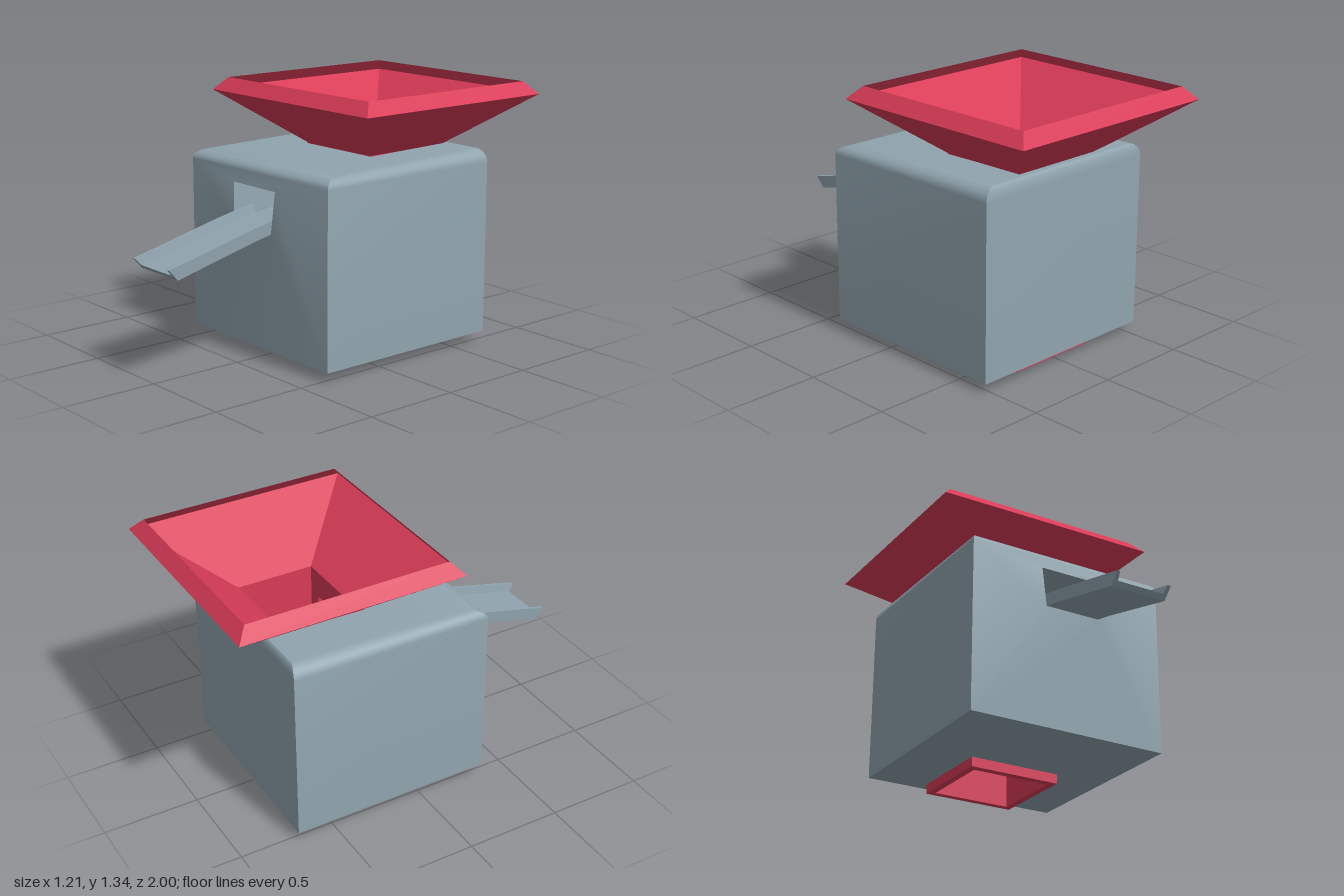
import * as THREE from 'three';
import { toCreasedNormals } from 'three/addons/utils/BufferGeometryUtils.js';

const grey = new THREE.MeshStandardMaterial({ color: 0x90a4ae, side: THREE.DoubleSide });
const red = new THREE.MeshStandardMaterial({ color: 0xd83b57, side: THREE.DoubleSide });

// Four corners of a horizontal rectangle, front edge first; lift raises the back edge
const rect = (x0, x1, z0, z1, y, lift = 0) =>
  [[x0, y, z1], [x1, y, z1], [x1, y + lift, z0], [x0, y + lift, z0]];

// Joins successive rings of points with quads; skip(i, j) leaves a quad out
function loft(rings, skip = () => false, caps = []) {
  const pos = [];
  const quad = (a, b, c, d) => pos.push(...a, ...b, ...c, ...a, ...c, ...d);
  for (let i = 0; i < rings.length - 1; i++) {
    const r = rings[i], s = rings[i + 1], n = r.length;
    for (let j = 0; j < n; j++) {
      if (!skip(i, j)) quad(r[j], r[(j + 1) % n], s[(j + 1) % n], s[j]);
    }
  }
  for (const cap of caps) quad(...cap);
  const g = new THREE.BufferGeometry();
  g.setAttribute('position', new THREE.Float32BufferAttribute(pos, 3));
  return toCreasedNormals(g, 0.45);
}

function add(parent, name, geometry, material) {
  const mesh = new THREE.Mesh(geometry, material);
  mesh.name = name;
  parent.add(mesh);
  return mesh;
}

function box(parent, name, x0, x1, y0, y1, z0, z1, material) {
  const mesh = add(parent, name, new THREE.BoxGeometry(x1 - x0, y1 - y0, z1 - z0), material);
  mesh.position.set((x0 + x1) / 2, (y0 + y1) / 2, (z0 + z1) / 2);
}

export function createModel() {
  const model = new THREE.Group();

  // Housing: open around the shaft, with rounded upper edges
  const shaft = [-0.24, 0.255, -0.64, -0.16];
  const rings = [rect(...shaft, 0.05), rect(-0.54, 0.533, -0.705, 0.362, 0.05)];
  const steps = 7;
  for (let k = 0; k <= steps; k++) {
    const a = (k / steps) * Math.PI / 2, c = 1 - Math.cos(a), s = Math.sin(a);
    rings.push(rect(-0.54 + 0.07 * c, 0.533 - 0.07 * c, -0.705 + 0.025 * c,
      0.362 - 0.1 * c, 0.945 + 0.05 * s, 0.02 * s));
  }
  rings.push(rect(...shaft, 1.0, 0.012));
  add(model, 'housing', loft(rings, (i, j) => i === 1 && j === 0), grey);

  // Front panel: swells toward the outlet, then turns inward to the shaft
  const upright = (xb, xt, y0, y1, z0, z1) =>
    [[-xb, y0, z0], [xb, y0, z0], [xt, y1, z1], [-xt, y1, z1]];
  add(model, 'frontPanel', loft([
    [[-0.54, 0.05, 0.362], [0.533, 0.05, 0.362], [0.533, 0.945, 0.362], [-0.54, 0.945, 0.362]],
    upright(0.15, 0.163, 0.67, 0.88, 0.398, 0.382),
    upright(0.15, 0.163, 0.79, 0.88, -0.16, -0.16),
  ]), grey);

  // Delivery chute: U-shaped channel following a bent slope
  const path = [ // top z, top y, bottom z, bottom y
    [0.28, 0.755, 0.28, 0.69],
    [0.4, 0.733, 0.395, 0.668],
    [0.5, 0.712, 0.485, 0.65],
    [1.0, 0.592, 0.95, 0.535],
  ];
  const section = [[-0.148, 1], [0.148, 1], [0.15, 0], [0.133, 0],
    [0.125, 0.6], [-0.125, 0.6], [-0.133, 0], [-0.15, 0]];
  const chute = path.map(([tz, ty, bz, by]) =>
    section.map(([x, t]) => [x, ty + (by - ty) * t, tz + (bz - tz) * t]));
  const ends = [[0, 1, 4, 5], [1, 2, 3, 4], [0, 5, 6, 7]];
  const caps = [
    ...ends.map((q) => q.map((i) => chute[3][i])),
    ...ends.map((q) => q.map((i) => chute[0][i]).reverse()),
  ];
  add(model, 'chute', loft(chute, undefined, caps), grey);

  // Hopper and shaft: outside going up, over the lip, then back down the inside
  const hopper = new THREE.Group();
  hopper.name = 'hopper';
  model.add(hopper);
  const bore = [-0.205, 0.22, -0.605, -0.2];
  const wide = [-0.605, 0.605, -0.998, 0.182];
  const lip = [-0.545, 0.545, -0.94, 0.122];
  const low = 0.79, high = 0.88;
  const hopperRings = [
    rect(...bore, 0), rect(...shaft, 0), rect(...shaft, low), rect(...shaft, high),
    rect(...shaft, 1.005), rect(...wide, 1.275), rect(...lip, 1.34),
    rect(-0.59, 0.59, -0.983, 0.167, 1.283), rect(...bore, 1.02),
    rect(...bore, high), rect(...bore, low), rect(...bore, 0),
  ];
  add(hopper, 'funnelAndShaft',
    loft(hopperRings, (i, j) => j === 0 && (i === 2 || i === 9)), red);

  // Jambs on each side of the shaft outlet
  box(hopper, 'leftJamb', 0.15, 0.25, low, high, -0.198, -0.162, red);
  box(hopper, 'rightJamb', -0.235, -0.15, low, high, -0.198, -0.162, red);

  // Shelf inside the shaft leading to the outlet
  box(hopper, 'shelf', -0.14, 0.157, 0.75, 0.79, -0.56, -0.165, red);

  return model;
}
